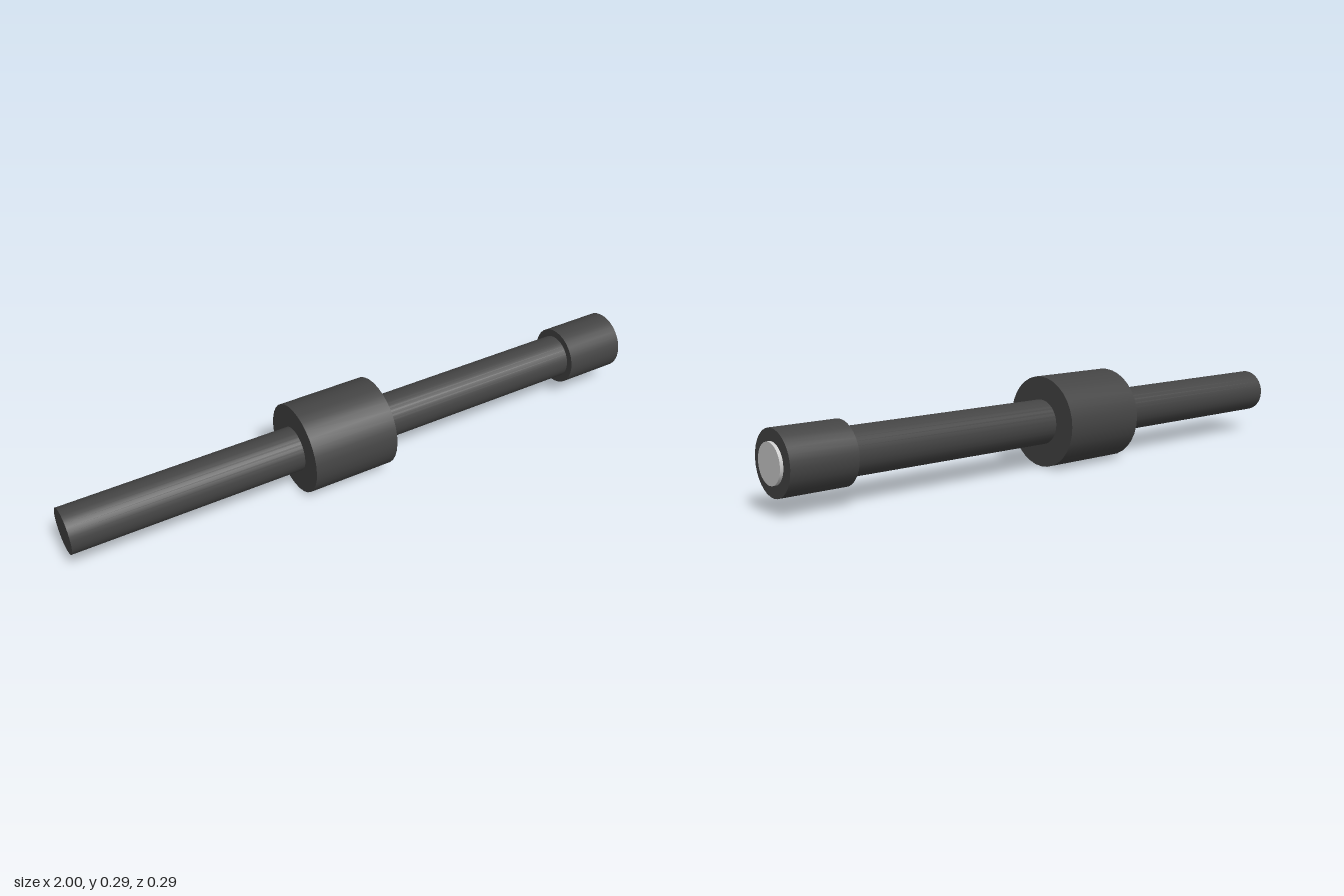
import * as THREE from 'three';

const AXIS_Y = 0.146;
const SIDES = 32;

export function createModel() {
  const group = new THREE.Group();
  const dark = new THREE.MeshStandardMaterial({ color: 0x444444 });
  const pale = new THREE.MeshStandardMaterial({ color: 0xcccccc });

  // Cylinder lying along x from x0 to x1
  function addCylinder(name, radius, x0, x1, material) {
    const geometry = new THREE.CylinderGeometry(radius, radius, x1 - x0, SIDES);
    geometry.rotateZ(-Math.PI / 2);
    const mesh = new THREE.Mesh(geometry, material);
    mesh.name = name;
    mesh.position.set((x0 + x1) / 2, AXIS_Y, 0);
    group.add(mesh);
  }

  addCylinder('rod', 0.072, -1, 0.9, dark);
  addCylinder('collar', 0.146, -0.25, 0.04, dark);
  addCylinder('endCap', 0.096, 0.78, 0.99, dark);
  addCylinder('lens', 0.06, 0.97, 1, pale);

  return group;
}
